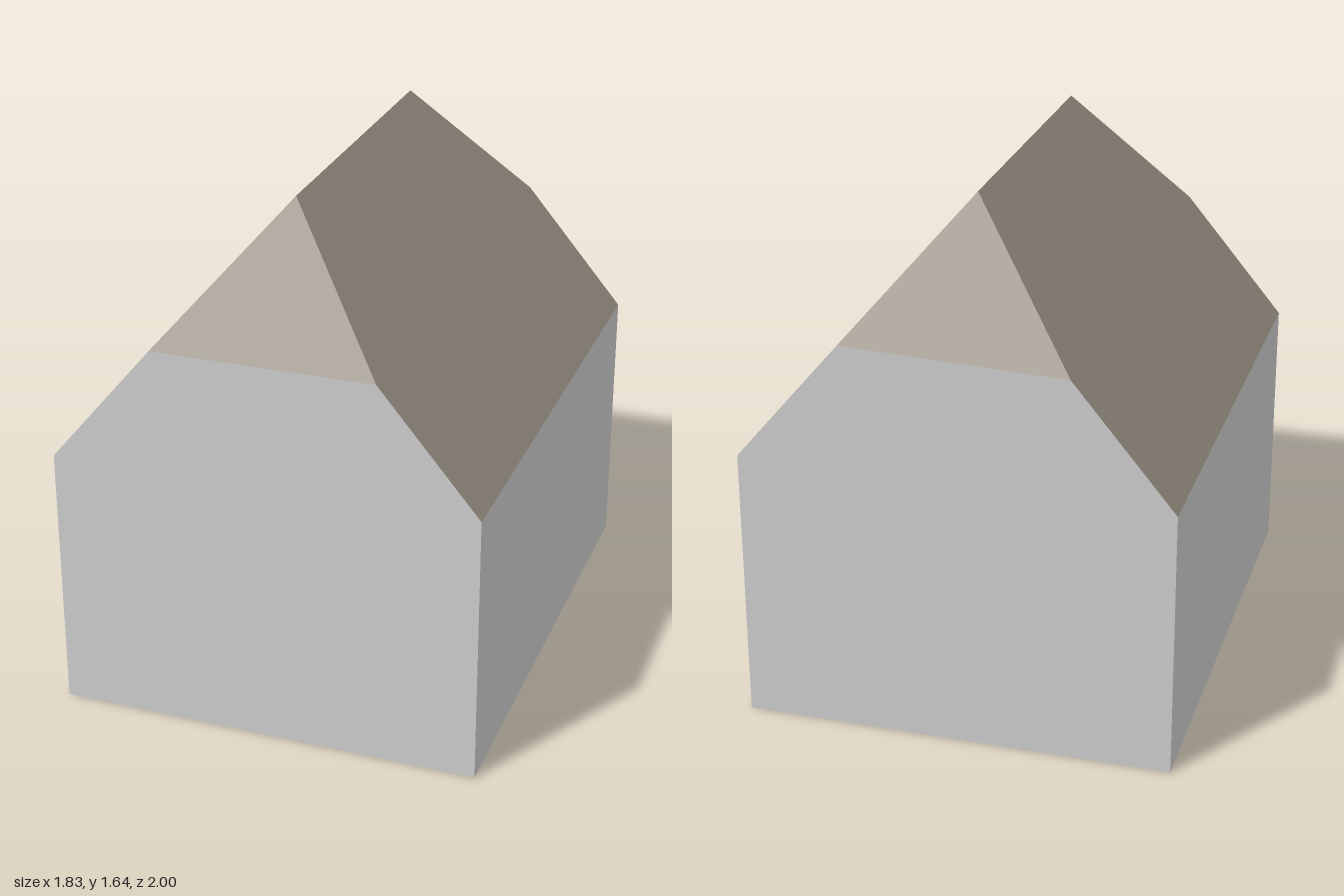
import * as THREE from 'three';

// Flat-sided surface from convex polygons, each listed counter-clockwise from outside
function faceted(name, polygons, material) {
  const pos = [];
  for (const p of polygons) {
    for (let i = 1; i < p.length - 1; i++) pos.push(...p[0], ...p[i], ...p[i + 1]);
  }
  const geometry = new THREE.BufferGeometry();
  geometry.setAttribute('position', new THREE.Float32BufferAttribute(pos, 3));
  geometry.computeVertexNormals();
  const mesh = new THREE.Mesh(geometry, material);
  mesh.name = name;
  return mesh;
}

export function createModel() {
  const wall = new THREE.MeshStandardMaterial({ color: 0xcccccc });
  wall.name = 'pale grey wall';
  const roof = new THREE.MeshStandardMaterial({ color: 0x968e82 });
  roof.name = 'taupe roof';

  const W = 0.662, L = 0.811, leftEave = 0.84, rightEave = 0.86;

  // Outline of each gable end: floor, eave and clipped gable corners
  const end = (z, leftX, leftY, rightX, rightY) => ({
    floorL: [-W, 0, z], floorR: [W, 0, z],
    eaveL: [-W, leftEave, z], eaveR: [W, rightEave, z],
    hipL: [leftX, leftY, z], hipR: [rightX, rightY, z],
    ridge: [0.005, 1.64, Math.sign(z) * 0.515],
  });
  const f = end(L, -0.337, 1.23, 0.35, 1.233);
  const b = end(-L, -0.35, 1.218, 0.337, 1.245);

  const house = new THREE.Group();
  house.name = 'house';
  house.add(
    faceted('gableWalls', [
      [f.floorL, f.floorR, f.eaveR, f.hipR, f.hipL, f.eaveL],
      [b.floorR, b.floorL, b.eaveL, b.hipL, b.hipR, b.eaveR],
    ], wall),
    faceted('sideWalls', [
      [f.floorR, b.floorR, b.eaveR, f.eaveR],
      [b.floorL, f.floorL, f.eaveL, b.eaveL],
    ], wall),
    faceted('floor', [[f.floorL, b.floorL, b.floorR, f.floorR]], wall),
    faceted('roofSlopes', [
      [f.ridge, f.hipR, f.eaveR, b.eaveR, b.hipR, b.ridge],
      [b.ridge, b.hipL, b.eaveL, f.eaveL, f.hipL, f.ridge],
    ], roof),
    faceted('roofHips', [
      [f.hipL, f.hipR, f.ridge],
      [b.hipR, b.hipL, b.ridge],
    ], roof),
  );

  // The house stands turned on its plot
  house.rotation.y = -0.378;

  const model = new THREE.Group();
  model.name = 'hippedGableHouse';
  model.add(house);
  return model;
}
